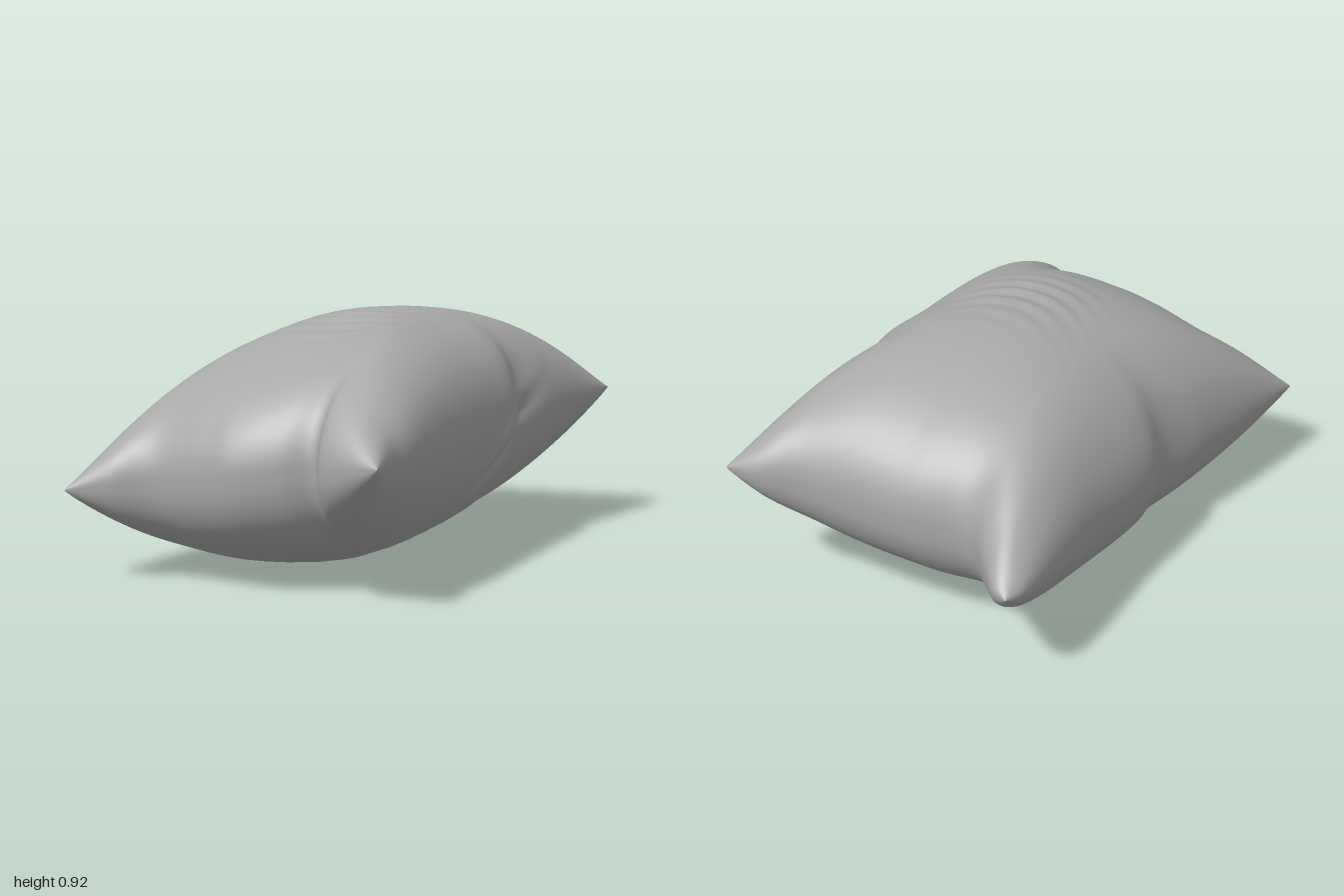
import * as THREE from 'three';
import { mergeVertices } from 'three/addons/utils/BufferGeometryUtils.js';

const N = 110;          // grid cells per side of each sheet
const HALF = 0.452;     // half thickness in the middle

// Seam outline seen from above as [x, z]; back and front run -x to +x, sides run back to front
const seam = (pts) => new THREE.CatmullRomCurve3(pts.map(([x, z]) => new THREE.Vector3(x, 0, z)), false, 'centripetal');
const back = seam([[-0.51, -1], [-0.45, -0.98], [-0.36, -0.89], [-0.23, -0.775], [0, -0.8], [0.42, -0.84], [0.58, -0.89], [0.7, -0.9]]);
const front = seam([[-0.7, 0.95], [-0.55, 0.91], [-0.4, 0.86], [-0.2, 0.89], [-0.08, 0.91], [0.1, 0.88], [0.22, 0.84], [0.27, 0.91], [0.4, 0.97], [0.52, 1]]);
const left = seam([[-0.51, -1], [-0.54, -0.92], [-0.54, -0.4], [-0.565, 0], [-0.535, 0.13], [-0.59, 0.36], [-0.65, 0.65], [-0.7, 0.95]]);
const right = seam([[0.7, -0.9], [0.66, -0.7], [0.6, -0.45], [0.54, -0.27], [0.57, -0.17], [0.56, 0], [0.54, 0.4], [0.53, 0.72], [0.51, 0.83], [0.52, 1]]);
// Seam heights of the corners: back -x, back +x, front -x, front +x
const [yBL, yBR, yFL, yFR] = [0.44, 0.54, 0.35, 0.53];

const mix = THREE.MathUtils.lerp;
const bell = (v, c, w) => Math.exp(-(((v - c) / w) ** 2));

// U-shaped ripples on the broad faces
function ripples(x, z, side) {
  const cx = side > 0 ? 0.04 : 0.08;
  const d = z + 1.8 * (x - cx) ** 2;
  const reach = bell(x, cx, 0.2) * bell(d, 0.22, 0.22);
  return reach * 0.009 * Math.sin((d - 0.17) * Math.PI * 2 / 0.1);
}

// Slanting fold across the +x flank, below the seam pinch
function flankFold(x, y, z) {
  if (x < 0.2) return 0;
  const d = y - (0.46 - 0.72 * (z + 0.22));
  const depth = bell(d, 0, 0.035) * -0.022 + bell(d, 0.08, 0.05) * 0.012;
  return depth * bell(z, -0.08, 0.24) * Math.min(1, x * 1.6);
}

// Thickness from 0 at the seam to 1 in the middle: round across, flatter along the
// underside, and straight cones toward the corners
function puffAt(s, t, side) {
  const across = (4 * s * (1 - s)) ** 0.49;
  const along = (4 * t * (1 - t)) ** (side > 0 ? 0.5 : 0.4);
  const c = Math.abs((2 * s - 1) * (2 * t - 1));
  return across * along * (1 + (side > 0 ? 0.7 : 0.3) * c ** 1.5 * (1 - c));
}

function pillowGeometry() {
  const pos = [], index = [];
  // Finer toward the seam
  const params = Array.from({ length: N + 1 }, (_, i) => 0.5 + 0.5 * Math.sin(Math.PI * (i / N - 0.5)));
  const [b, f, l, r] = [back, front, left, right].map((c) => params.map((s) => c.getPointAt(s)));
  // How far a seam curve strays from its straight chord
  const stray = (c, i, k) => c[i][k] - mix(c[0][k], c[N][k], params[i]);

  for (const side of [1, -1]) {
    const base = pos.length / 3;
    for (let j = 0; j <= N; j++) {
      for (let i = 0; i <= N; i++) {
        const s = params[i], t = params[j];
        // Straight-sided patch plus the seam's bends, which fade inward
        const span = (k) => mix(mix(b[0][k], b[N][k], s), mix(f[0][k], f[N][k], s), t)
          + stray(b, i, k) * (1 - t) ** 2 + stray(f, i, k) * t ** 2
          + stray(l, j, k) * (1 - s) ** 6 + stray(r, j, k) * s ** 6;
        const x = span('x'), z = span('z');
        const mid = mix(mix(yBL, yBR, s), mix(yFL, yFR, s), t);
        const y = mid + side * puffAt(s, t, side) * (HALF + ripples(x, z, side));
        pos.push(x + flankFold(x, y, z), y, z);
        if (i < N && j < N) {
          const a = base + j * (N + 1) + i, c = a + N + 1;
          if (side > 0) index.push(a, c, a + 1, a + 1, c, c + 1);
          else index.push(a, a + 1, c, a + 1, c + 1, c);
        }
      }
    }
  }
  let geo = new THREE.BufferGeometry();
  geo.setAttribute('position', new THREE.Float32BufferAttribute(pos, 3));
  geo.setIndex(index);
  geo = mergeVertices(geo, 1e-5);   // joins both sheets along the seam
  geo.computeBoundingBox();
  geo.translate(0, -geo.boundingBox.min.y, 0);
  geo.computeVertexNormals();
  return geo;
}

export function createModel() {
  const group = new THREE.Group();
  group.name = 'pillow';
  const fabric = new THREE.MeshStandardMaterial({ color: 0xa8a8a8 });
  fabric.name = 'grey fabric';
  const cushion = new THREE.Mesh(pillowGeometry(), fabric);
  cushion.name = 'cushion';
  group.add(cushion);
  return group;
}
